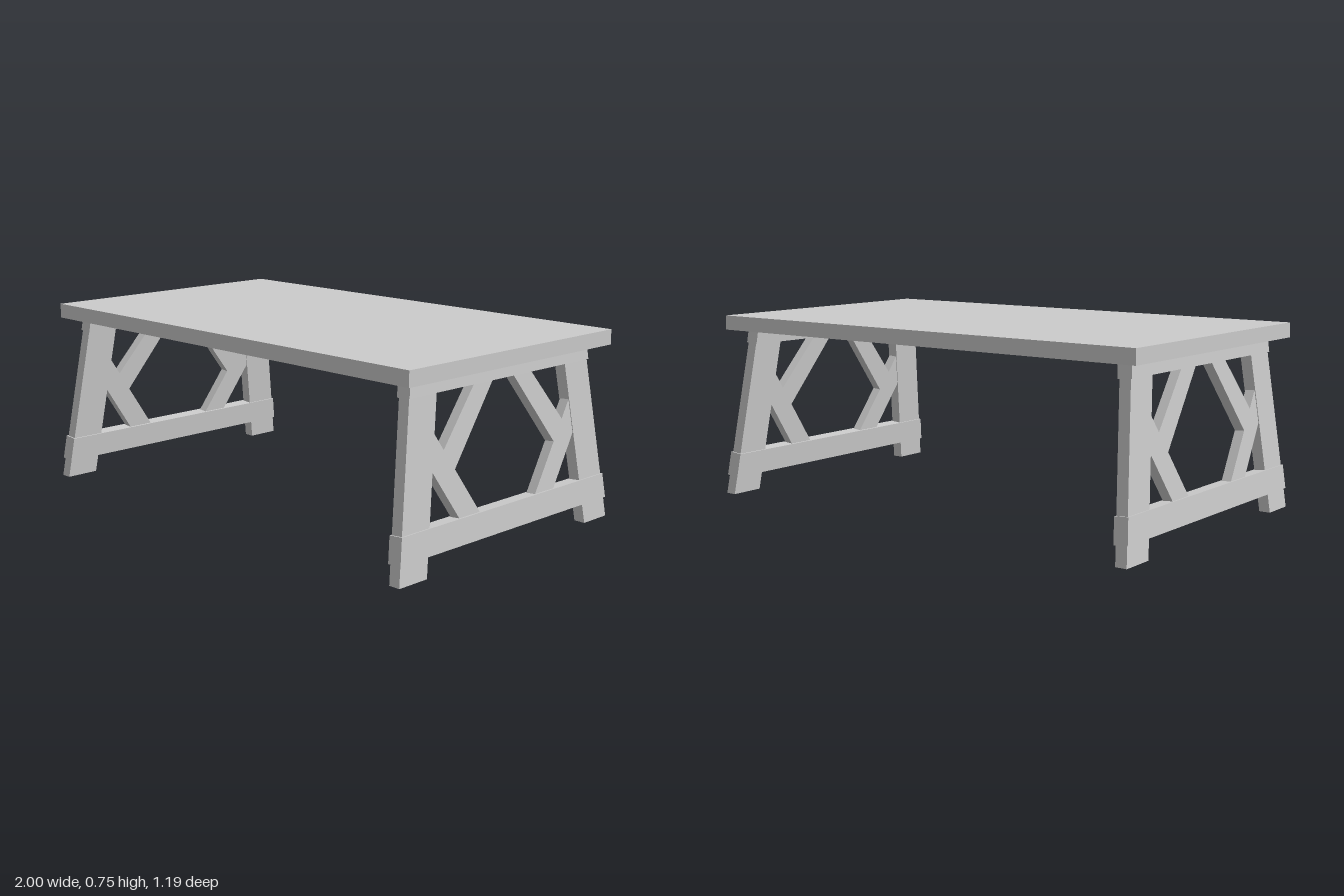
import * as THREE from 'three';

const material = new THREE.MeshStandardMaterial({ color: 0xcccccc, flatShading: true });
const LEAN = 0.084;      // inward lean of each trestle
const FOOT_X = 0.97;     // trestle centre at the floor
const TOP_Y = 0.688;     // underside of the tabletop
const RAIL = 0.057, LEG = 0.046, BRACE = 0.04;

// Flat board outlined in [z, y], leaned inward and cut level at floor and tabletop
function board(name, points, thickness) {
  const shape = new THREE.Shape(points.map(([z, y]) => new THREE.Vector2(z, y)));
  const geo = new THREE.ExtrudeGeometry(shape, { depth: thickness, bevelEnabled: false });
  geo.translate(0, 0, -thickness / 2).rotateY(Math.PI / 2);
  const pos = geo.attributes.position;
  for (let i = 0; i < pos.count; i++) {
    const x = pos.getX(i), y = pos.getY(i);
    const level = y <= 0 || y >= TOP_Y;
    pos.setX(i, x + FOOT_X - LEAN * y);
    if (!level) pos.setY(i, y + LEAN * x);
  }
  geo.computeVertexNormals();
  const mesh = new THREE.Mesh(geo, material);
  mesh.name = name;
  return mesh;
}

function createTrestle(name) {
  const trestle = new THREE.Group();
  trestle.name = name;

  // Cross rails
  trestle.add(
    board('topRail', [[-0.506, 0.631], [0.506, 0.631], [0.499, TOP_Y], [-0.499, TOP_Y]], RAIL),
    board('lowerRail', [[-0.591, 0.075], [0.591, 0.075], [0.577, 0.172], [-0.577, 0.172]], RAIL)
  );

  // Splayed legs and angled braces, mirrored front to back
  for (const s of [1, -1]) {
    const side = s > 0 ? 'front' : 'back';
    const flip = (pts) => pts.map(([z, y]) => [s * z, y]);
    trestle.add(
      board(side + 'Leg', flip([[0.457, 0], [0.597, 0], [0.494, TOP_Y], [0.355, TOP_Y]]), LEG),
      board(side + 'UpperBrace', flip([[0.155, 0.64], [0.052, 0.64], [0.284, 0.348], [0.339, 0.425]]), BRACE),
      board(side + 'LowerBrace', flip([[0.153, 0.162], [0.265, 0.162], [0.43, 0.402], [0.41, 0.531]]), BRACE)
    );
  }
  return trestle;
}

export function createModel() {
  const model = new THREE.Group();
  model.name = 'trestleTable';

  // Tabletop
  const top = new THREE.Mesh(new THREE.BoxGeometry(2, 0.059, 1.14), material);
  top.name = 'tabletop';
  top.position.y = TOP_Y + 0.0295;
  model.add(top);

  // One trestle at each end
  const left = createTrestle('leftTrestle');
  const right = createTrestle('rightTrestle');
  right.rotation.y = Math.PI;
  model.add(left, right);
  return model;
}
